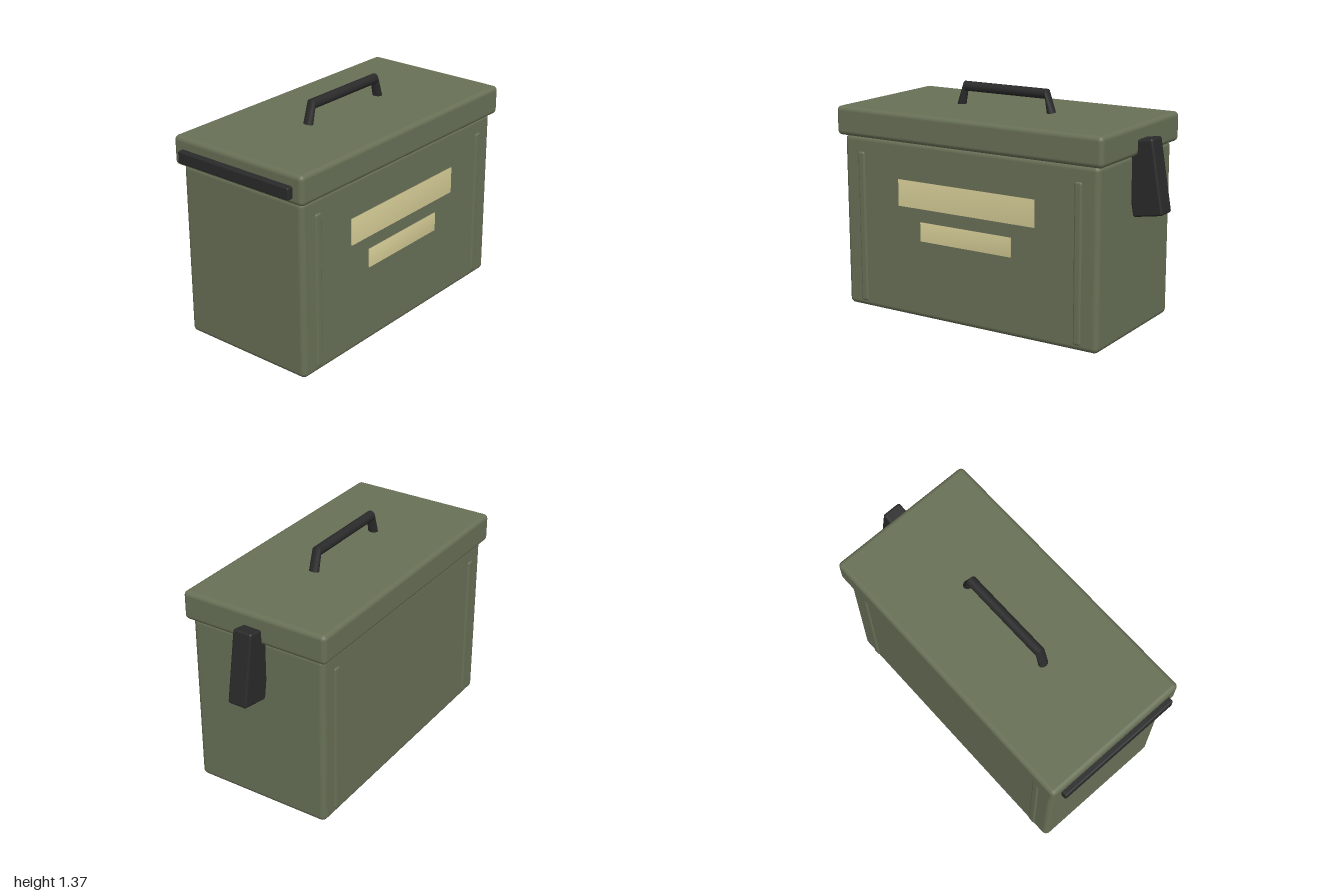
import * as THREE from 'three';
import { RoundedBoxGeometry } from 'three/addons/geometries/RoundedBoxGeometry.js';
import { mergeVertices } from 'three/addons/utils/BufferGeometryUtils.js';

const MID = -0.0625; // centre of the box along x

function material(name, color) {
  const m = new THREE.MeshStandardMaterial({ color });
  m.name = name;
  return m;
}

// Rounded box given by its extents on each axis
function roundedBox(name, mat, [x0, x1], [y0, y1], [z0, z1], radius) {
  const mesh = new THREE.Mesh(new RoundedBoxGeometry(x1 - x0, y1 - y0, z1 - z0, 4, radius), mat);
  mesh.position.set((x0 + x1) / 2, (y0 + y1) / 2, (z0 + z1) / 2);
  mesh.name = name;
  return mesh;
}

// Thin plate with normals smoothed across its edges
function label(name, mat, [x0, x1], [y0, y1]) {
  let geo = new THREE.BoxGeometry(x1 - x0, y1 - y0, 0.009);
  geo.deleteAttribute('normal');
  geo.deleteAttribute('uv');
  geo = mergeVertices(geo);
  geo.computeVertexNormals();
  const mesh = new THREE.Mesh(geo, mat);
  mesh.position.set((x0 + x1) / 2, (y0 + y1) / 2, 0.437);
  mesh.name = name;
  return mesh;
}

// Mitred round bar: rings spanning from an outer to an inner point
function handleGeometry() {
  const left = [
    [-0.4, 1.235, -0.35, 1.22],
    [-0.35, 1.37, -0.34, 1.31],
  ];
  const right = left.map(([a, b, c, d]) => [2 * MID - a, b, 2 * MID - c, d]).reverse();
  const rings = [...left, ...right];
  const sides = 16;
  const pos = [], idx = [];
  const ringPoint = ([ox, oy, ix, iy], j) => {
    const a = (j / sides) * Math.PI * 2;
    const c = Math.cos(a) / 2;
    return [(ox + ix) / 2 + (ox - ix) * c, (oy + iy) / 2 + (oy - iy) * c, 0.03 * Math.sin(a)];
  };
  // Each segment has its own rings, so the mitres stay crisp
  for (let s = 0; s < rings.length - 1; s++) {
    const base = pos.length / 3;
    for (const ring of [rings[s], rings[s + 1]])
      for (let j = 0; j < sides; j++) pos.push(...ringPoint(ring, j));
    for (let j = 0; j < sides; j++) {
      const a = base + j, b = base + ((j + 1) % sides);
      idx.push(a, a + sides, b, b, a + sides, b + sides);
    }
  }
  const geo = new THREE.BufferGeometry();
  geo.setAttribute('position', new THREE.Float32BufferAttribute(pos, 3));
  geo.setIndex(idx);
  geo.computeVertexNormals();
  return geo;
}

export function createModel() {
  const olive = material('olive paint', 0x687056);
  const black = material('black metal', 0x2a2a2b);
  const yellow = material('pale yellow', 0xd8cf98);
  black.side = THREE.DoubleSide;

  const model = new THREE.Group();
  model.name = 'metalBox';

  // Body and lid
  model.add(roundedBox('body', olive, [-0.932, 0.807], [0, 1.06], [-0.435, 0.435], 0.032));
  model.add(roundedBox('lid', olive, [-0.965, 0.84], [1.055, 1.23], [-0.467, 0.467], 0.028));

  // Raised vertical ribs, showing on the front and back
  for (const side of [-1, 1]) {
    const x = MID + side * 0.742;
    for (const face of [-1, 1]) {
      const z = [0.403 * face, 0.443 * face].sort((a, b) => a - b);
      model.add(roundedBox('rib', olive, [x - 0.025, x + 0.025], [0.035, 0.965], z, 0.014));
    }
  }

  // Front label plates
  model.add(label('upperLabel', yellow, [-0.53, 0.405], [0.67, 0.83]));
  model.add(label('lowerLabel', yellow, [-0.375, 0.25], [0.475, 0.59]));

  // Hinge bar on one end, tilted latch on the other
  model.add(roundedBox('hinge', black, [-1, -0.93], [1.09, 1.162], [-0.402, 0.402], 0.01));
  const latch = roundedBox('latch', black, [0.779, 0.965], [0.716, 1.15], [-0.061, 0.061], 0.014);
  latch.rotation.z = THREE.MathUtils.degToRad(9.7);
  model.add(latch);

  // Carrying handle
  const handle = new THREE.Mesh(handleGeometry(), black);
  handle.name = 'handle';
  model.add(handle);

  return model;
}
